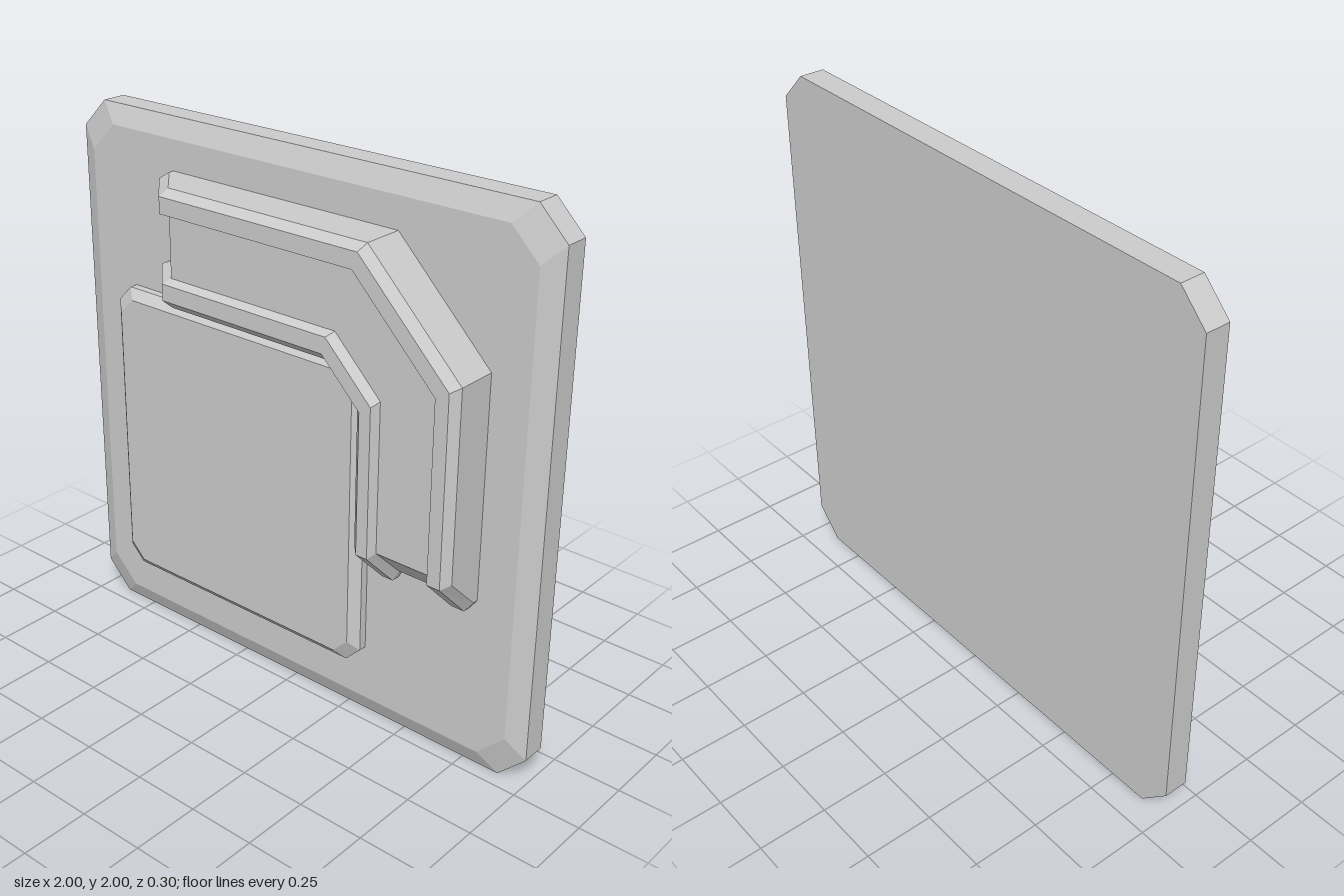
import * as THREE from 'three';
import { ConvexGeometry } from 'three/addons/geometries/ConvexGeometry.js';

const material = new THREE.MeshStandardMaterial({ color: 0xcccccc, flatShading: true });

// Square with cut corners at depth z
function cutSquare(cx, cy, half, cut, z) {
  const points = [];
  for (const sx of [-1, 1]) for (const sy of [-1, 1]) {
    points.push(new THREE.Vector3(cx + sx * half, cy + sy * (half - cut), z));
    points.push(new THREE.Vector3(cx + sx * (half - cut), cy + sy * half, z));
  }
  return points;
}

// Square slab whose front edges are bevelled
function bevelledSlab(name, cx, cy, half, cut, inset, zBack, zEdge, zFront) {
  const mesh = new THREE.Mesh(new ConvexGeometry([
    ...cutSquare(cx, cy, half, cut, zBack),
    ...cutSquare(cx, cy, half, cut, zEdge),
    ...cutSquare(cx, cy, half - inset, cut, zFront),
  ]), material);
  mesh.name = name;
  return mesh;
}

// Bent duct: a raised channel with a bevelled rail on each side and ramped ends
function bentDuct() {
  // Lengthwise lines: [y of level run, x of upright run, x + y on the diagonal, level]
  const lines = [
    [1.40, 0.40, 1.675, 'base'],
    [1.40, 0.40, 1.675, 'low'],
    [1.43, 0.43, 1.705, 'high'],
    [1.49, 0.475, 1.78, 'high'],
    [1.505, 0.49, 1.81, 'low'],
    [1.725, 0.705, 2.11, 'low'],
    [1.735, 0.715, 2.125, 'high'],
    [1.795, 0.765, 2.205, 'high'],
    [1.82, 0.79, 2.245, 'low'],
    [1.82, 0.79, 2.245, 'base'],
  ];
  // End ramp for each level: [distance in from the tip, z]
  const ramps = {
    base: [[0.035, -0.04], [0.035, -0.04], [0.16, -0.04]],
    low: [[0.035, -0.04], [0.035, -0.01], [0.16, 0.12]],
    high: [[0, -0.04], [0, 0.005], [0.145, 0.15]],
  };
  const positions = [], index = [], columns = 8;
  for (const [h, v, k, level] of lines) {
    const ramp = ramps[level], z = ramp[2][1];
    for (const [d, rz] of ramp) positions.push(-0.57 + d, h, rz);
    positions.push(k - h, h, z, v, k - v, z);
    for (const [d, rz] of [...ramp].reverse()) positions.push(v, 0.62 + d, rz);
  }
  for (let i = 0; i < lines.length - 1; i++) {
    for (let j = 0; j < columns - 1; j++) {
      const a = i * columns + j, b = a + columns;
      index.push(a, a + 1, b + 1, a, b + 1, b);
    }
  }
  const indexed = new THREE.BufferGeometry();
  indexed.setAttribute('position', new THREE.Float32BufferAttribute(positions, 3));
  indexed.setIndex(index);
  const geometry = indexed.toNonIndexed();
  geometry.computeVertexNormals();
  const mesh = new THREE.Mesh(geometry, material);
  mesh.name = 'bentDuct';
  return mesh;
}

export function createModel() {
  const model = new THREE.Group();
  model.name = 'wallPanel';
  model.add(
    bevelledSlab('backPlate', 0, 1, 1, 0.105, 0.07, -0.15, -0.06, -0.03),
    bevelledSlab('raisedPanel', -0.23, 0.79, 0.57, 0.06, 0.035, -0.04, 0, 0.03),
    bentDuct(),
  );
  return model;
}
